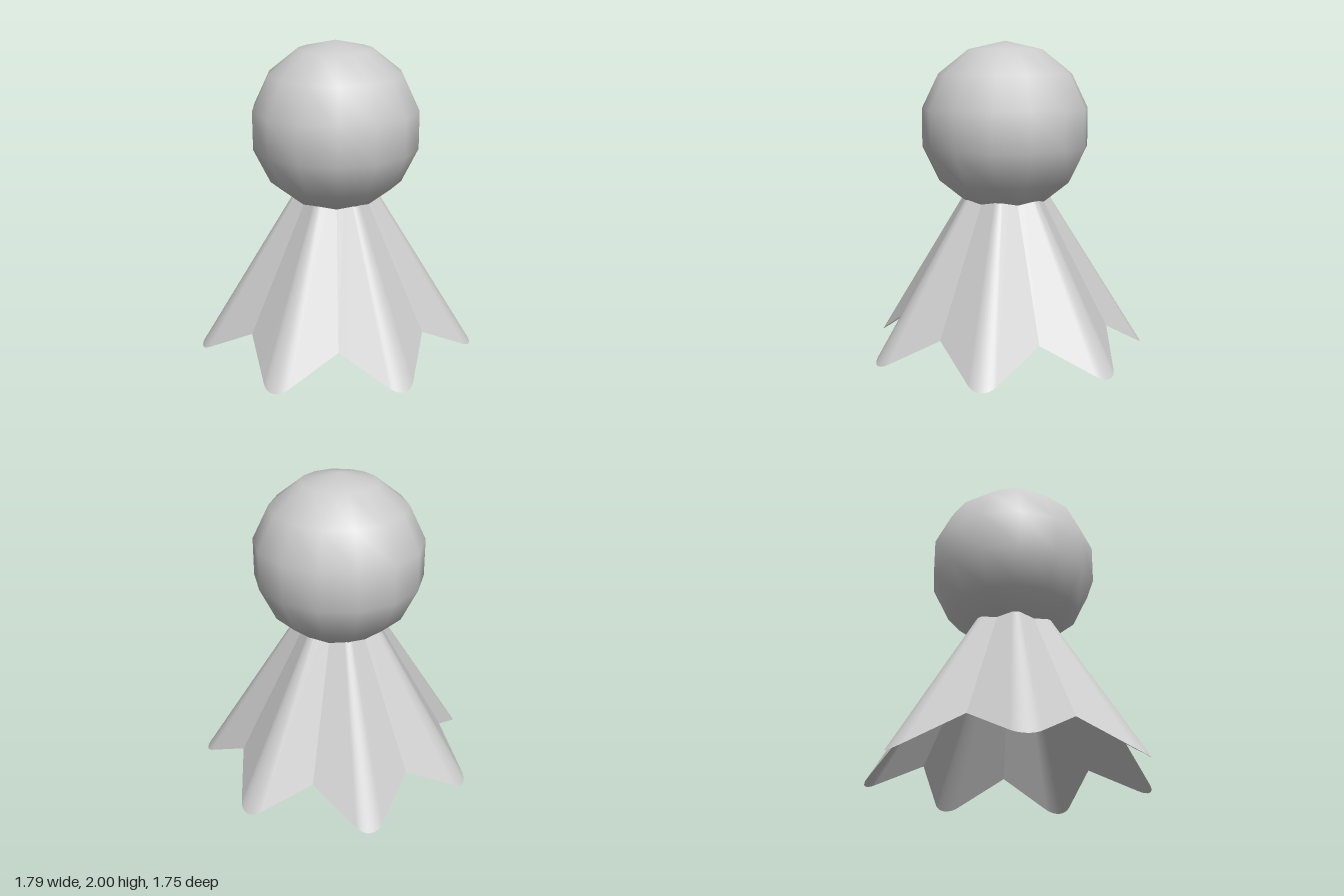
import * as THREE from 'three';

const PETALS = 7;
const CENTRE_Z = -0.04;
const APEX_Y = 1.46; // the skirt tapers towards this point inside the head

// Hem of one petal pointing to +z: notch, straight edge, rounded tip, straight edge, notch
function petalHem() {
  const tipR = 0.915, notchR = 0.695, round = 0.11, steps = 8;
  const half = Math.PI / PETALS;
  const notch = new THREE.Vector2(notchR * Math.sin(half), notchR * Math.cos(half));
  const sweep = 0.86; // half angle of the rounded tip
  const hem = [[-notch.x, notch.y]];
  for (let i = 0; i <= steps; i++) {
    const a = sweep * (2 * i / steps - 1);
    hem.push([round * Math.sin(a), tipR - round + round * Math.cos(a)]);
  }
  hem.push([notch.x, notch.y]);
  // the hem rises from the tip on the floor to the notch
  return hem.map(([x, z]) =>
    new THREE.Vector3(x, 0.2 * (tipR - z) / (tipR - notch.y), z));
}

// Petal surface: the hem drawn in towards the apex
function petalGeometry() {
  const apex = new THREE.Vector3(0, APEX_Y, 0);
  const hem = petalHem();
  const n = hem.length;
  const points = [...hem, ...hem.map((p) => p.clone().lerp(apex, 0.82))];
  const index = [];
  for (let i = 0; i < n - 1; i++) {
    index.push(i, i + 1, n + i + 1, i, n + i + 1, n + i);
  }
  const geometry = new THREE.BufferGeometry().setFromPoints(points);
  geometry.setIndex(index);
  geometry.computeVertexNormals();
  return geometry;
}

export function createModel() {
  const model = new THREE.Group();
  model.name = 'figure';

  // Round head, smooth shaded with a coarse outline
  const head = new THREE.Mesh(
    new THREE.SphereGeometry(0.55, 14, 7),
    new THREE.MeshStandardMaterial({ color: 0xcccccc })
  );
  head.name = 'head';
  head.rotation.y = Math.PI / 2;
  head.position.set(0, 1.45, CENTRE_Z);
  model.add(head);

  // Open pleated skirt of seven petals, creased where they meet
  const skirt = new THREE.Group();
  skirt.name = 'skirt';
  skirt.position.z = CENTRE_Z;
  const cloth = new THREE.MeshStandardMaterial({ color: 0xcccccc, side: THREE.DoubleSide });
  const geometry = petalGeometry();
  for (let i = 0; i < PETALS; i++) {
    const petal = new THREE.Mesh(geometry, cloth);
    petal.name = 'skirtPetal' + (i + 1);
    petal.rotation.y = (i * 2 * Math.PI) / PETALS;
    skirt.add(petal);
  }
  model.add(skirt);

  return model;
}
